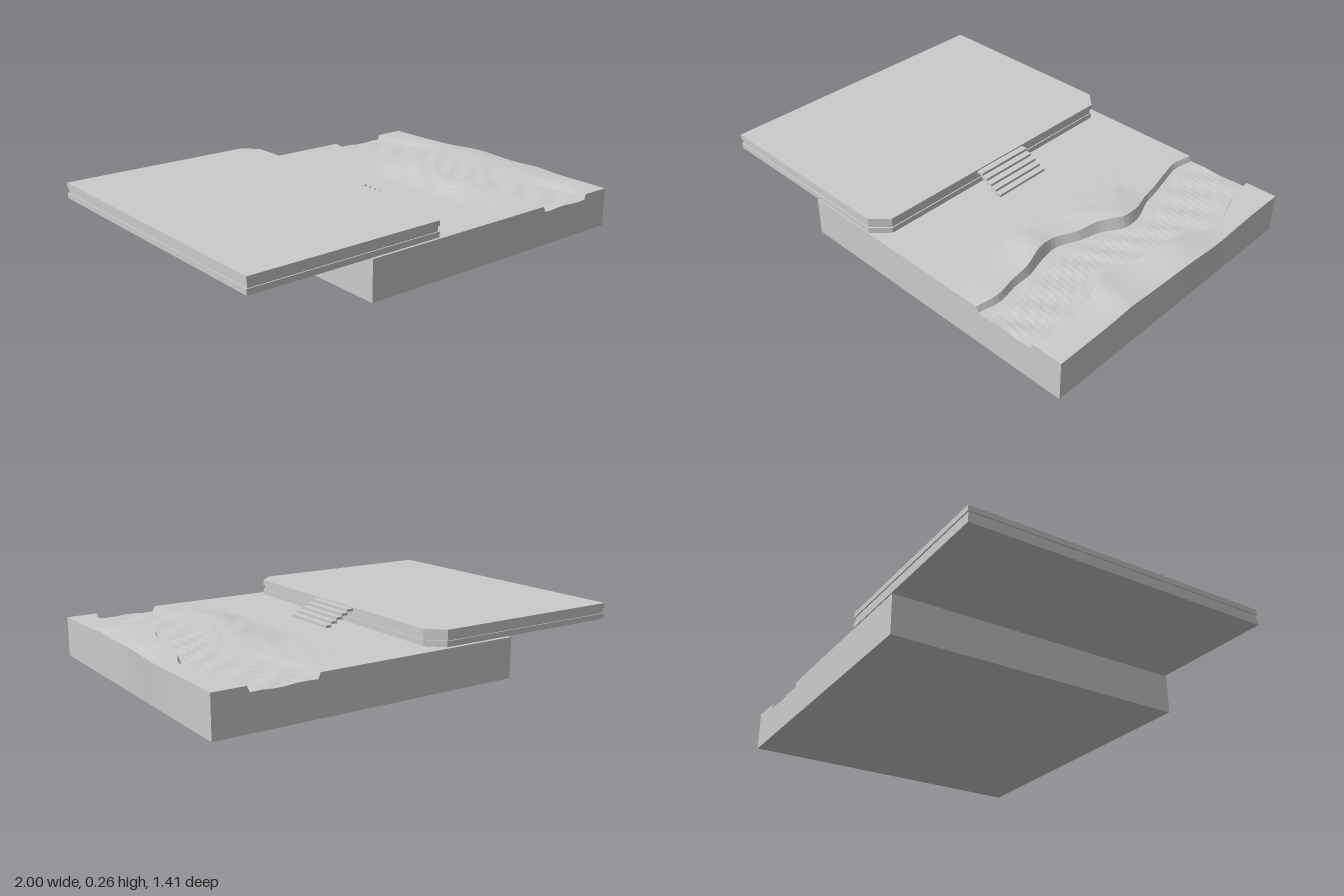
import * as THREE from 'three';

const HALF = 0.705; // half depth along z
const ROWS = 56;

// Values sampled evenly from the back (-z) to the front (+z)
const along = (values) => {
  const curve = new THREE.SplineCurve(values.map((v, i) => new THREE.Vector2(i, v)));
  return (t) => curve.getPoint(t).y;
};
const leftBank = along([0.53, 0.515, 0.535, 0.56, 0.58, 0.615, 0.62, 0.565, 0.54, 0.5, 0.51, 0.54, 0.55, 0.57, 0.555]);
const rightBank = along([0.84, 0.845, 0.88, 0.91, 0.91, 0.87, 0.855, 0.845, 0.82, 0.785, 0.81, 0.845, 0.865, 0.875, 0.845]);
const leftCrest = along([0.18, 0.181, 0.182, 0.182, 0.183, 0.198, 0.208, 0.205, 0.196, 0.198, 0.209, 0.196, 0.187, 0.186, 0.18]);
const rightCrest = along([0.18, 0.18, 0.18, 0.181, 0.183, 0.195, 0.207, 0.205, 0.197, 0.198, 0.206, 0.192, 0.185, 0.184, 0.18]);

// Solid lofted through closed cross-sections [x, y], clockwise seen from +z
function loft(section) {
  const pos = [];
  const rings = [];
  for (let i = 0; i <= ROWS; i++) {
    const z = (i / ROWS * 2 - 1) * HALF;
    rings.push(section(i / ROWS).map(([x, y]) => new THREE.Vector3(x, y, z)));
  }
  const tri = (...pts) => pts.forEach((p) => pos.push(p.x, p.y, p.z));
  for (let i = 0; i < ROWS; i++) {
    const n = rings[i].length;
    for (let j = 0; j < n; j++) {
      const k = (j + 1) % n;
      const a = rings[i][j], b = rings[i][k], c = rings[i + 1][k], d = rings[i + 1][j];
      tri(a, d, c);
      tri(a, c, b);
    }
  }
  // End caps
  for (const [ring, facing] of [[rings[0], -1], [rings[ROWS], 1]]) {
    const flat = ring.map((p) => new THREE.Vector2(p.x, p.y));
    for (const [a, b, c] of THREE.ShapeUtils.triangulateShape(flat, [])) {
      const area = THREE.ShapeUtils.area([flat[a], flat[b], flat[c]]);
      if (area * facing > 0) tri(ring[a], ring[b], ring[c]);
      else tri(ring[a], ring[c], ring[b]);
    }
  }
  const geo = new THREE.BufferGeometry();
  geo.setAttribute('position', new THREE.Float32BufferAttribute(pos, 3));
  geo.computeVertexNormals();
  return geo;
}

// Ground block with rising banks and a trapezoid channel
function groundSection(t) {
  const xl = leftBank(t), xr = rightBank(t), hl = leftCrest(t), hr = rightCrest(t);
  const edge = 0.985 + 0.013 * Math.exp(-(((t - 0.38) / 0.16) ** 2));
  const pts = [[-0.43, 0], [-0.43, 0.18], [0.2, 0.18]];
  for (let i = 0; i <= 7; i++) {
    const s = i / 7;
    const rise = THREE.MathUtils.smoothstep(s, 0, 0.9);
    const bump = 0.003 * Math.sin(t * 37 + i * 1.9) * Math.sin(s * Math.PI) * Math.sin(t * Math.PI);
    pts.push([0.3 + (xl - 0.3) * s, 0.18 + (hl - 0.18) * rise + Math.max(0, bump)]);
  }
  pts.push([xl + 0.04, 0.08], [xr - 0.04, 0.08], [xr, hr]);
  for (const s of [0.35, 0.7, 1]) {
    pts.push([xr + (edge - xr) * s, hr - (hr - 0.18) * 0.5 * s * s]);
  }
  pts.push([0.985, 0]);
  return pts;
}

// Rippled water filling the channel
function waterSection(t) {
  const xl = leftBank(t), xr = rightBank(t);
  const level = 0.155;
  const inL = xl + 0.04 * (leftCrest(t) - level) / (leftCrest(t) - 0.08);
  const inR = xr - 0.04 * (rightCrest(t) - level) / (rightCrest(t) - 0.08);
  const pts = [[xl + 0.04, 0.08]];
  for (let i = 0; i <= 6; i++) {
    const s = i / 6;
    const ripple = 0.004 * Math.sin(t * 61 + i * 1.3) * Math.sin(s * Math.PI);
    pts.push([inL + (inR - inL) * s, level + ripple]);
  }
  pts.push([xr - 0.04, 0.08]);
  return pts;
}

// Terrace layer: slab with two clipped corners on the +x side
function terraceLayer(y, height, inset) {
  const x0 = -1 + inset, x1 = -0.01 - inset, z = HALF - inset;
  const shape = new THREE.Shape([
    [x0, -z], [x1 - 0.07, -z], [x1, -z + 0.07], [x1, z - 0.07], [x1 - 0.07, z], [x0, z],
  ].map(([a, b]) => new THREE.Vector2(a, b)));
  const geo = new THREE.ExtrudeGeometry(shape, { depth: height, bevelEnabled: false });
  return geo.rotateX(-Math.PI / 2).translate(0, y, 0);
}

export function createModel() {
  const model = new THREE.Group();
  const material = new THREE.MeshStandardMaterial({ color: 0xcccccc, flatShading: true });
  const add = (parent, name, geo) => {
    const mesh = new THREE.Mesh(geo, material);
    mesh.name = name;
    parent.add(mesh);
    return mesh;
  };

  add(model, 'ground', loft(groundSection));
  add(model, 'riverWater', loft(waterSection));

  // Terrace: two slabs with a slim recessed joint
  const terrace = new THREE.Group();
  terrace.name = 'terrace';
  add(terrace, 'lowerSlab', terraceLayer(0.186, 0.025, 0));
  add(terrace, 'recessedJoint', terraceLayer(0.211, 0.023, 0.005));
  add(terrace, 'upperSlab', terraceLayer(0.234, 0.024, 0));
  model.add(terrace);

  // Open steps leading down to the ground
  const stairs = new THREE.Group();
  stairs.name = 'stairs';
  for (let i = 0; i < 5; i++) {
    const tread = add(stairs, 'tread', new THREE.BoxGeometry(0.03, 0.012, 0.285));
    tread.position.set(0.005 + i * 0.028, 0.246 - i * 0.0145, -0.002);
  }
  model.add(stairs);
  return model;
}
